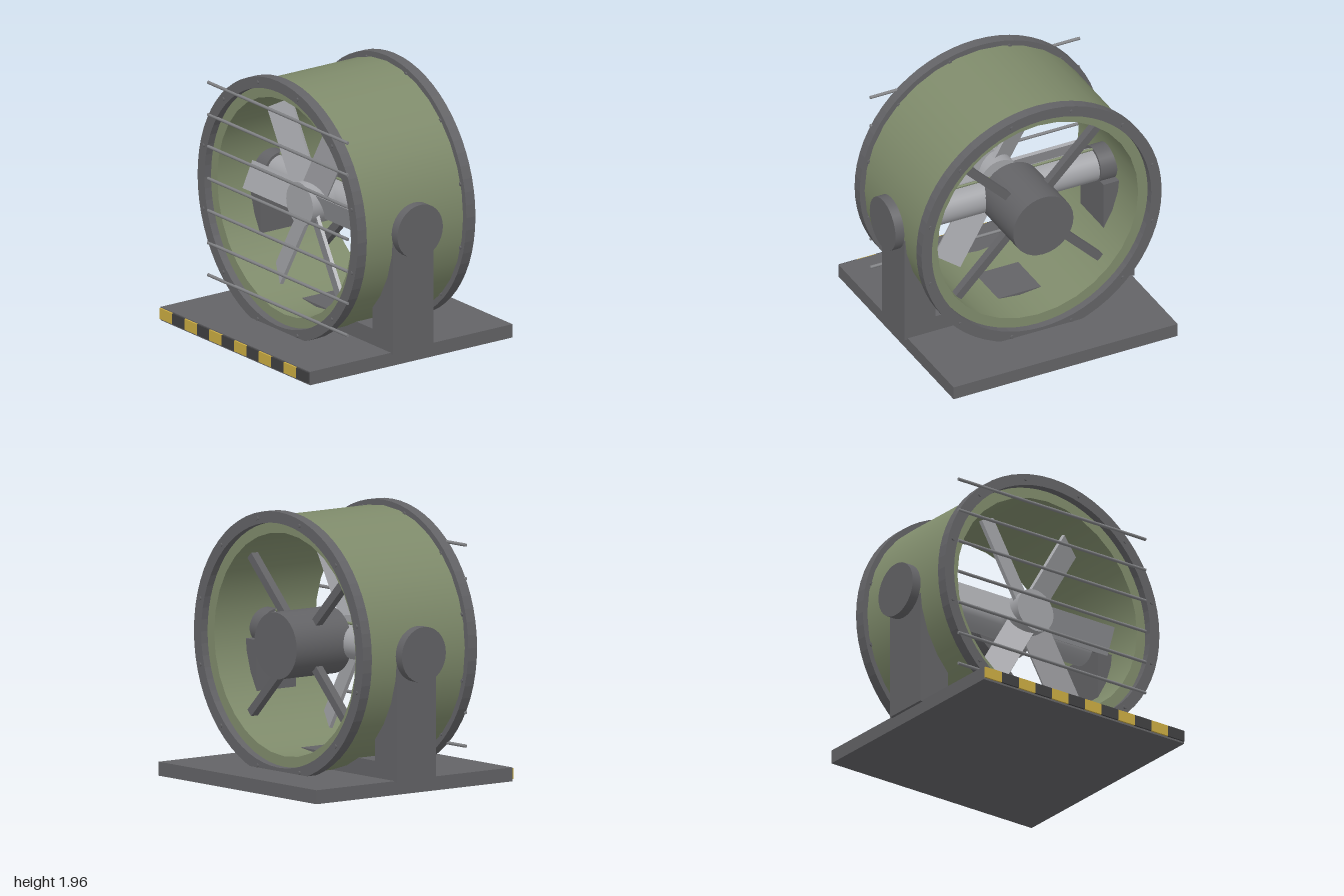
import * as THREE from 'three';

const mat = (name, color) => {
  const m = new THREE.MeshStandardMaterial({ color });
  m.name = name;
  return m;
};

export function createModel() {
  const green = mat('green paint', 0x7f8b6b);
  const dark = mat('dark grey steel', 0x636366);
  const light = mat('light grey metal', 0xa3a4a8);
  const rodGrey = mat('rod grey', 0x808184);
  const yellow = mat('hazard yellow', 0xcaab42);
  const black = mat('hazard black', 0x404042);

  const model = new THREE.Group();
  model.name = 'drumFan';
  const Z = -0.008; // small shift that centres the model with its hazard strip
  const CY = 1.0; // height of the fan axis

  const add = (name, geo, m, x = 0, y = 0, z = 0, parent = model) => {
    const mesh = new THREE.Mesh(geo, m);
    mesh.name = name;
    mesh.position.set(x, y, z);
    parent.add(mesh);
    return mesh;
  };
  const box = (w, h, d) => new THREE.BoxGeometry(w, h, d);
  // cylinders lying along x or z
  const cylX = (r, len, n = 32) => new THREE.CylinderGeometry(r, r, len, n).rotateZ(Math.PI / 2);
  const cylZ = (r, len, n = 32) => new THREE.CylinderGeometry(r, r, len, n).rotateX(Math.PI / 2);

  // ring with a hole, centred along z
  const ring = (outer, inner, depth) => {
    const s = new THREE.Shape().absarc(0, 0, outer, 0, Math.PI * 2, false);
    s.holes.push(new THREE.Path().absarc(0, 0, inner, 0, Math.PI * 2, true));
    return new THREE.ExtrudeGeometry(s, { depth, bevelEnabled: false, curveSegments: 32 })
      .translate(0, 0, -depth / 2);
  };
  // open cylinder wall along z, smooth shaded
  const wall = (r, len) => new THREE.CylinderGeometry(r, r, len, 32, 1, true).rotateX(Math.PI / 2);

  // base plate with hazard strip
  add('base', box(1.786, 0.1, 1.78), dark, 0, 0.05, Z);
  const seg = 1.776 / 12;
  for (let i = 0; i < 12; i++) {
    add('hazardBlock', box(seg, 0.08, 0.02), i % 2 ? black : yellow,
      -0.888 + seg * (i + 0.5), 0.054, Z + 0.893);
  }

  // fan assembly around its own axis
  const fan = new THREE.Group();
  fan.name = 'fan';
  fan.position.set(0, CY, Z);
  model.add(fan);

  // drum: outer skin, inner skin and end faces
  add('drumOuter', wall(0.918, 0.92), green, 0, 0, 0, fan);
  const inner = wall(0.8, 0.92);
  inner.scale(-1, 1, 1); // mirrored so that the faces look inwards
  const normals = inner.attributes.normal;
  for (let i = 0; i < normals.count; i++) {
    normals.setXYZ(i, -inner.attributes.position.getX(i) / 0.8, -inner.attributes.position.getY(i) / 0.8, 0);
  }
  add('drumInner', inner, green, 0, 0, 0, fan);
  for (const s of [1, -1]) {
    const end = add('drumEnd', new THREE.RingGeometry(0.8, 0.918, 32), green, 0, 0, 0.46 * s, fan);
    if (s < 0) end.rotation.y = Math.PI;
  }

  // flanges with bolts
  const flangeGeo = ring(0.957, 0.875, 0.08);
  const boltGeo = cylZ(0.014, 0.1, 8);
  for (const s of [1, -1]) {
    add('flange', flangeGeo, dark, 0, 0, 0.478 * s, fan);
    for (let i = 0; i < 12; i++) {
      const a = (i + 0.5) * Math.PI / 6;
      add('bolt', boltGeo, dark, 0.916 * Math.cos(a), 0.916 * Math.sin(a), 0.478 * s, fan);
    }
  }

  // front guard rods
  for (let i = -3; i <= 3; i++) {
    add('guardRod', cylX(0.012, 1.67, 10), rodGrey, 0, i * 0.24, 0.515, fan);
  }

  // motor and its diagonal struts
  add('motor', cylZ(0.24, 0.5), dark, 0, 0, -0.295, fan);
  for (let i = 0; i < 4; i++) {
    const arm = new THREE.Group();
    arm.name = 'strutArm';
    arm.rotation.z = Math.PI / 4 + i * Math.PI / 2;
    fan.add(arm);
    add('strut', box(0.62, 0.06, 0.06), dark, 0.51, 0, -0.3, arm);
  }

  // hub, drive shaft and pitched blades
  add('hub', cylZ(0.16, 0.2), light, 0, 0, 0.225, fan);
  add('driveShaft', cylZ(0.06, 0.25, 16), light, 0, 0, 0.03, fan);
  for (let i = 0; i < 6; i++) {
    const arm = new THREE.Group();
    arm.name = 'bladeArm';
    arm.rotation.z = i * Math.PI / 3;
    fan.add(arm);
    add('blade', box(0.64, 0.21, 0.025), light, 0.418, 0, 0.23, arm).rotation.x = 0.42;
  }

  // cross shaft that carries the drum
  add('pivotShaft', cylX(0.12, 1.88), light, 0, 0, 0, fan);
  add('shaftRod', cylX(0.01, 1.36, 8), green, 0, 0.13, 0, fan);

  // yoke: posts, bearing collars, pivot caps and cross bar
  for (const s of [1, -1]) {
    add('post', box(0.245, 0.84, 0.355), dark, s * 0.793, 0.51, Z);
    add('collar', cylX(0.14, 0.245), dark, s * 0.793, CY, Z);
    add('pivotCap', cylX(0.2, 0.07), dark, s * 0.965, CY, Z);
  }
  add('crossBar', box(1.36, 0.12, 0.355), dark, 0, 0.16, Z);

  return model;
}
